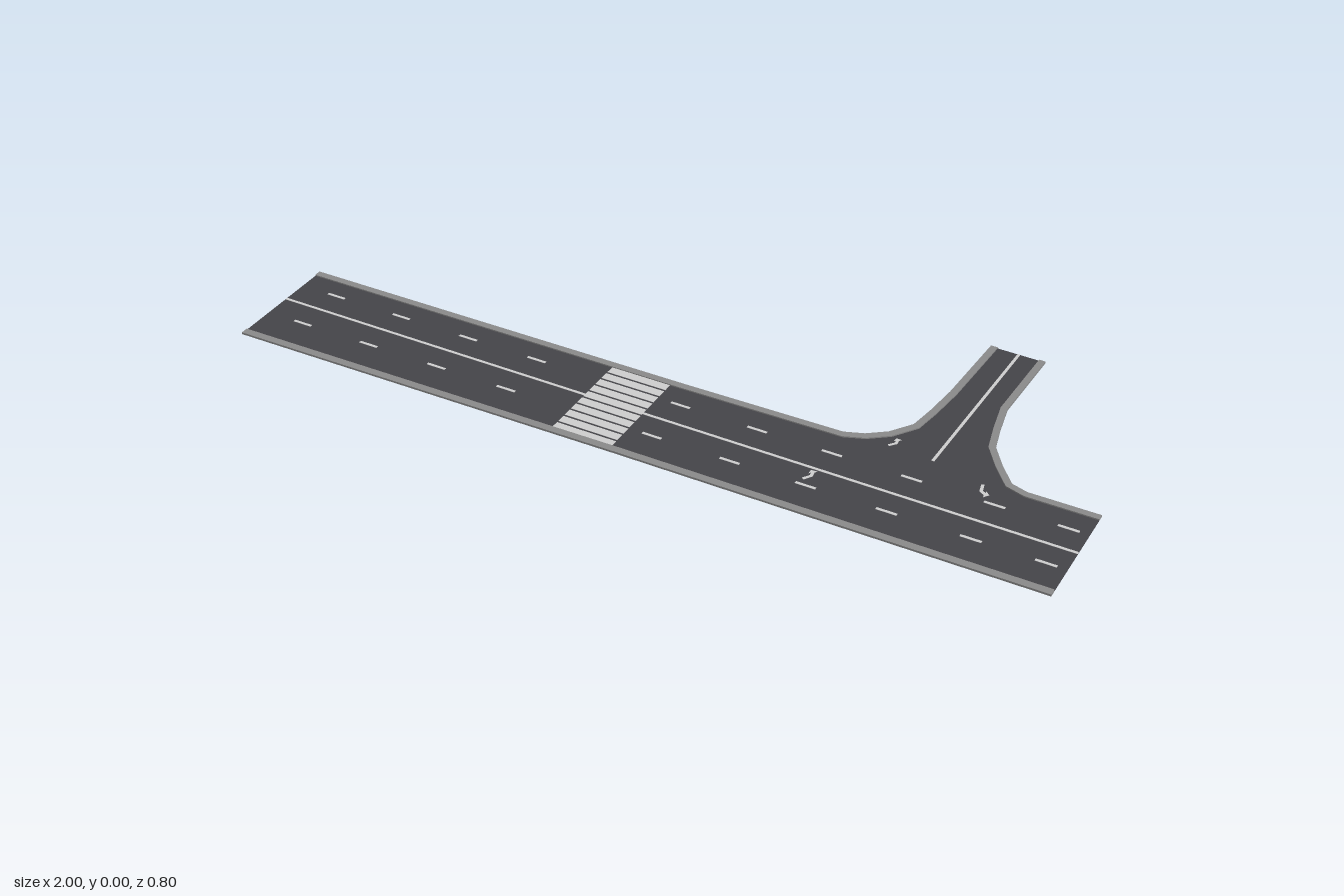
import * as THREE from 'three';

const ROAD_TOP = 0.002, KERB_TOP = 0.005, PAINT = 0.0008;

// Plan outlines as [x, z], running clockwise seen from above
const backLeft = [[-1, 0.096], [0, 0.077], [0.4, 0.065], [0.444, 0.048], [0.487, 0.016],
  [0.524, -0.035], [0.535, -0.1], [0.545, -0.187], [0.555, -0.4]];
const backRight = [[0.69, -0.4], [0.684, -0.187], [0.699, -0.11], [0.715, -0.045], [0.754, 0.01],
  [0.795, 0.058], [0.834, 0.069], [1, 0.066]];
const front = [[1, 0.353], [0, 0.37], [-1, 0.396]];

// Moves a plan line to its right-hand side by width w, with mitred corners
function inset(line, w) {
  return line.map((p, i) => {
    const normal = (a, b) => new THREE.Vector2(a[1] - b[1], b[0] - a[0]).normalize();
    const before = normal(line[Math.max(i - 1, 0)], line[Math.max(i, 1)]);
    const last = line.length - 1;
    const after = normal(line[Math.min(i, last - 1)], line[Math.min(i + 1, last)]);
    const m = before.clone().add(after).normalize();
    m.multiplyScalar(w / m.dot(before));
    const end = i === 0 || i === last;
    // road ends are cut square to the axes
    if (end && Math.abs(p[0]) === 1) return [p[0], p[1] + m.y];
    if (end) return [p[0] + m.x, p[1]];
    return [p[0] + m.x, p[1] + m.y];
  });
}

// Flat solid from a plan outline
function slab(name, points, y, height, material) {
  const shape = new THREE.Shape(points.map(([x, z]) => new THREE.Vector2(x, -z)));
  const geometry = new THREE.ExtrudeGeometry(shape, { depth: height, bevelEnabled: false });
  geometry.rotateX(-Math.PI / 2).translate(0, y, 0);
  const mesh = new THREE.Mesh(geometry, material);
  mesh.name = name;
  return mesh;
}

export function createModel() {
  const asphalt = new THREE.MeshStandardMaterial({ color: 0x454449 });
  asphalt.name = 'asphalt';
  const concrete = new THREE.MeshStandardMaterial({ color: 0x8a8a8a });
  concrete.name = 'kerbConcrete';
  const white = new THREE.MeshStandardMaterial({ color: 0xcecece });
  white.name = 'roadPaint';

  const model = new THREE.Group();
  model.name = 'roadJunction';

  // Kerbs and the road surface between them
  const kerbs = [['backLeftKerb', backLeft, 0.017], ['backRightKerb', backRight, 0.016], ['frontKerb', front, 0.018]];
  const surface = [];
  for (const [name, line, width] of kerbs) {
    const inner = inset(line, width);
    surface.push(...inner);
    model.add(slab(name, [...line, ...inner.slice().reverse()], 0, KERB_TOP, concrete));
  }
  model.add(slab('roadSurface', surface, 0, ROAD_TOP, asphalt));

  const paint = (name, points) => model.add(slab(name, points, ROAD_TOP, PAINT, white));
  // Stripe between two x positions, following the slight slant of the main road
  const stripe = (name, x0, x1, zAt, w) => paint(name,
    [[x0, zAt(x0) - w / 2], [x1, zAt(x1) - w / 2], [x1, zAt(x1) + w / 2], [x0, zAt(x0) + w / 2]]);

  // Centre lines
  const centre = x => 0.2155 - 0.0125 * x;
  stripe('mainCentreLineLeft', -1, -0.171, centre, 0.007);
  stripe('mainCentreLineRight', -0.021, 1, centre, 0.007);
  paint('sideCentreLine', [[0.621, -0.4], [0.628, -0.4], [0.617, 0.064], [0.61, 0.064]]);

  // Lane dashes, with a gap at the crossing
  for (const x of [-0.925, -0.738, -0.55, -0.363, 0.013, 0.205, 0.387, 0.575, 0.765, 0.93]) {
    stripe('backLaneDash', x, x + 0.048, t => 0.15 - 0.013 * t, 0.007);
    stripe('frontLaneDash', x, x + 0.048, t => 0.279 - 0.016 * t, 0.007);
  }

  // Pedestrian crossing
  const bars = 10, pitch = 0.266 / bars;
  for (let i = 0; i < bars; i++) {
    const z = 0.093 + pitch * (i + 0.5);
    stripe('crossingBar', -0.171, -0.021, x => z - 0.015 * (x + 0.096), pitch - 0.0055);
  }

  // Turn arrows: bent stem with a triangular head
  const arrow = [[-0.004, 0.025], [-0.004, 0.002], [-0.012, -0.006], [-0.012, 0.001], [-0.021, -0.011],
    [-0.008, -0.022], [-0.008, -0.014], [0.004, -0.002], [0.004, 0.025]];
  const turnArrow = (cx, cz, angle, size) => {
    const c = Math.cos(angle) * size, s = Math.sin(angle) * size;
    paint('turnArrow', arrow.map(([x, z]) => [cx + x * c - z * s, cz + x * s + z * c]));
  };
  turnArrow(0.518, 0.045, 0.7, 0.75);
  turnArrow(0.746, 0.11, 2.9, 0.9);
  turnArrow(0.407, 0.237, 0.6, 0.85);

  return model;
}
